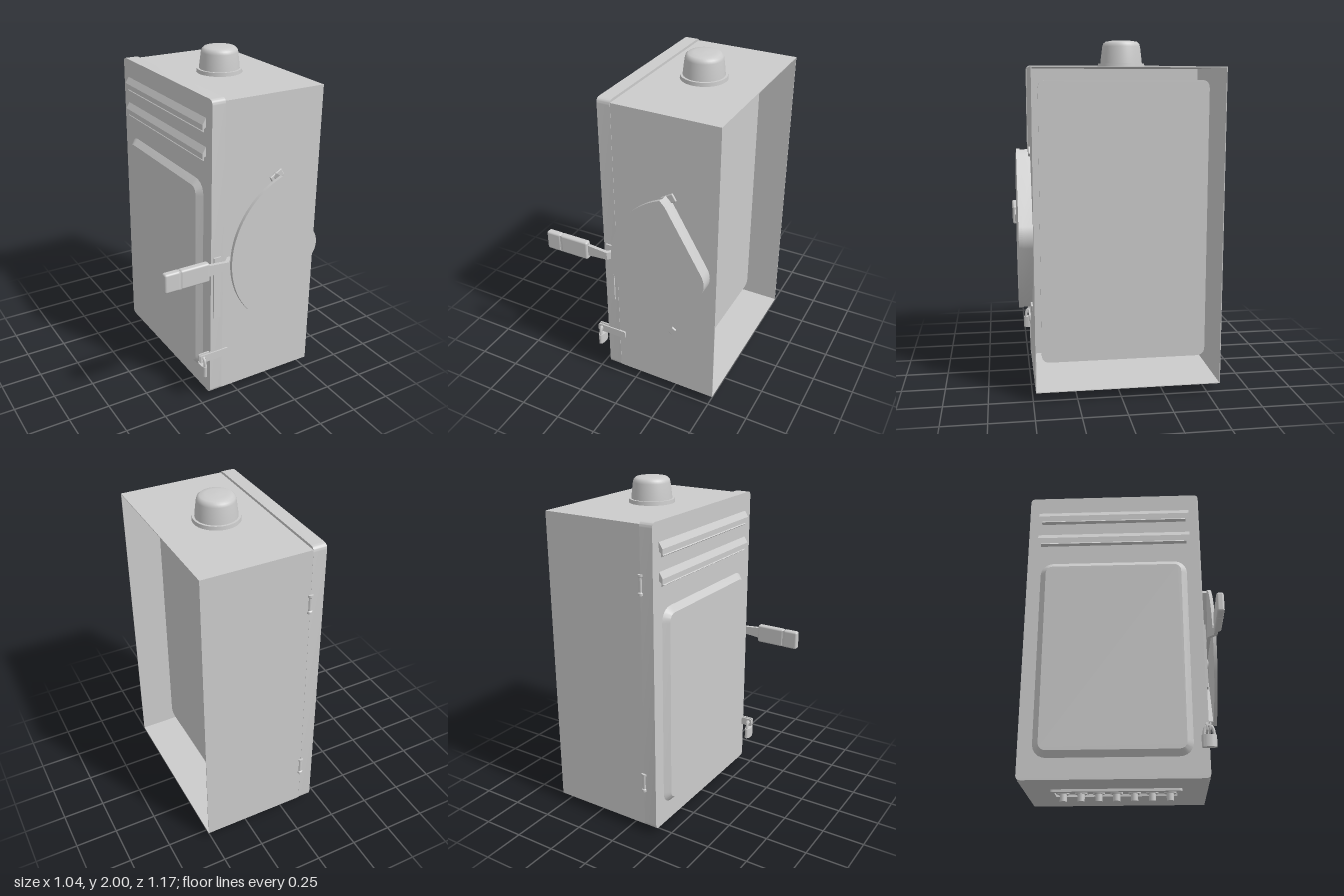
import * as THREE from 'three';
import { toCreasedNormals } from 'three/addons/utils/BufferGeometryUtils.js';
import { RoundedBoxGeometry } from 'three/addons/geometries/RoundedBoxGeometry.js';

const grey = new THREE.MeshStandardMaterial({ color: 0xcccccc, side: THREE.DoubleSide });

// Rounded rectangle path
function roundRect(path, x0, x1, y0, y1, r) {
  path.moveTo(x0 + r, y0);
  path.lineTo(x1 - r, y0);
  path.quadraticCurveTo(x1, y0, x1, y0 + r);
  path.lineTo(x1, y1 - r);
  path.quadraticCurveTo(x1, y1, x1 - r, y1);
  path.lineTo(x0 + r, y1);
  path.quadraticCurveTo(x0, y1, x0, y1 - r);
  path.lineTo(x0, y0 + r);
  path.quadraticCurveTo(x0, y0, x0 + r, y0);
  return path;
}

// Extrusion along z with sharp edges kept
function extrude(shape, depth, options = {}) {
  const g = new THREE.ExtrudeGeometry(shape, { depth, bevelEnabled: false, curveSegments: 8, ...options });
  return toCreasedNormals(g, 0.5);
}

// Rounded sheet facing the x axis, between x0 and x1
function sheetX(z0, z1, y0, y1, r, x0, x1, options) {
  const shape = roundRect(new THREE.Shape(), -z1, -z0, y0, y1, r);
  return extrude(shape, x1 - x0, options).rotateY(Math.PI / 2).translate(x0, 0, 0);
}

export function createModel() {
  const group = new THREE.Group();
  const add = (name, geometry, x = 0, y = 0, z = 0) => {
    const mesh = new THREE.Mesh(geometry, grey);
    mesh.name = name;
    mesh.position.set(x, y, z);
    group.add(mesh);
    return mesh;
  };
  const box = (name, x0, x1, y0, y1, z0, z1) =>
    add(name, new THREE.BoxGeometry(x1 - x0, y1 - y0, z1 - z0), (x0 + x1) / 2, (y0 + y1) / 2, (z0 + z1) / 2);

  // Cabinet walls, open at +x
  const walls = new THREE.Shape([[-0.485, 0.055], [0.572, 0.055], [0.572, 1.85], [-0.485, 1.85]]
    .map(p => new THREE.Vector2(...p)));
  walls.holes.push(new THREE.Path([[-0.481, 0.059], [-0.481, 1.846], [0.568, 1.846], [0.568, 0.059]]
    .map(p => new THREE.Vector2(...p))));
  add('cabinetWalls', extrude(walls, 0.63).rotateY(Math.PI / 2), -0.11);

  // Mounting plate floating inside the cabinet
  add('mountingPlate', sheetX(-0.53, 0.44, 0.155, 1.78, 0.05, 0.31, 0.32));

  // Door with lip and raised field
  add('door', sheetX(-0.573, 0.487, 0.043, 1.865, 0.03, -0.19, -0.11));
  add('doorField', sheetX(-0.455, 0.365, 0.2, 1.35, 0.05, -0.19, -0.18,
    { bevelEnabled: true, bevelThickness: 0.03, bevelSize: 0.035, bevelSegments: 1 }));

  // Door louvres: a sloping hood with a small sill below
  for (const y of [1.52, 1.68]) {
    const hood = new THREE.Shape([[0, 0.075], [-0.022, 0.04], [-0.022, 0.01], [0, 0.025]]
      .map(p => new THREE.Vector2(...p)));
    add('louvreHood', extrude(hood, 0.94), -0.19, y, -0.515);
    const sill = new THREE.Shape([[0, 0.015], [-0.016, 0], [0, -0.01]].map(p => new THREE.Vector2(...p)));
    add('louvreSill', extrude(sill, 0.9), -0.19, y, -0.495);
  }

  // Hinges
  const hingeProfile = [[0, -0.058], [0.016, -0.058], [0.016, -0.045], [0.011, -0.04],
    [0.011, 0.04], [0.016, 0.045], [0.016, 0.058], [0, 0.058]].map(p => new THREE.Vector2(...p));
  for (const y of [0.337, 1.528]) {
    add('hinge', toCreasedNormals(new THREE.LatheGeometry(hingeProfile, 16), 0.6), -0.11, y, -0.57);
  }

  // Signal lamp on the roof
  const flange = add('lampFlange', new THREE.CylinderGeometry(0.132, 0.134, 0.022, 40), 0.173, 1.861, -0.045);
  flange.geometry = toCreasedNormals(flange.geometry, 0.6);
  const lamp = [[0.119, 1.87], [0.116, 1.9], [0.108, 1.965], [0.103, 1.982], [0.09, 1.993], [0.06, 1.998], [0, 2]]
    .map(p => new THREE.Vector2(...p));
  add('lampCap', new THREE.LatheGeometry(lamp, 40), 0.173, 0, -0.045);

  // Terminal strip under the floor
  const tray = roundRect(new THREE.Shape(), -0.34, 0.42, 0.075, 0.23, 0.02);
  tray.holes.push(roundRect(new THREE.Path(), -0.315, 0.395, 0.1, 0.205, 0.01));
  const trayGeometry = extrude(tray, 0.015).rotateX(-Math.PI / 2).rotateY(Math.PI / 2);
  trayGeometry.translate(0.15 - 0.1525 + 0.305, 0.04, 0);
  add('terminalTray', trayGeometry);
  for (let i = 0; i < 7; i++) {
    const z = 0.27 - i * 0.103;
    add('terminalPin', new THREE.CylinderGeometry(0.021, 0.021, 0.055, 12), 0.152, 0.0275, z);
    add('terminalCollar', new THREE.CylinderGeometry(0.036, 0.036, 0.014, 6), 0.152, 0.049, z);
  }

  // Sector-shaped switch cover: plate and two straight side walls, open along the arc
  const cy = 0.93, corner = Math.atan2(0.462, -0.185);
  const cover = new THREE.Shape();
  cover.absarc(0.402, cy, 0.502, corner, Math.PI * 2 - corner, false);
  cover.lineTo(0.245, cy - 0.435);
  cover.lineTo(0.465, cy - 0.06);
  cover.quadraticCurveTo(0.495, cy, 0.465, cy + 0.06);
  cover.lineTo(0.245, cy + 0.435);
  cover.closePath();
  add('switchCoverPlate', extrude(cover, 0.02, { curveSegments: 32 }), 0, 0, 0.543);
  const rim = new THREE.Shape();
  rim.moveTo(0.217, cy - 0.462);
  rim.lineTo(0.245, cy - 0.435);
  rim.lineTo(0.465, cy - 0.06);
  rim.quadraticCurveTo(0.495, cy, 0.465, cy + 0.06);
  rim.lineTo(0.245, cy + 0.435);
  rim.lineTo(0.217, cy + 0.462);
  rim.lineTo(0.205, cy + 0.44);
  rim.lineTo(0.445, cy + 0.055);
  rim.quadraticCurveTo(0.472, cy, 0.445, cy - 0.055);
  rim.lineTo(0.205, cy - 0.44);
  add('switchCoverRim', extrude(rim, 0.062), 0, 0, 0.483);
  for (const s of [1, -1]) {
    const foot = add('switchCoverFoot', new RoundedBoxGeometry(0.085, 0.05, 0.014, 2, 0.006), 0.23, cy + s * 0.44, 0.49);
    foot.rotation.z = s * 0.55;
  }

  // Switch lever, stepped outward in front of the cabinet edge
  const lever = new THREE.Shape([[0.42, 0.51], [0.42, 0.53], [-0.09, 0.53], [-0.125, 0.568], [-0.27, 0.568],
    [-0.27, 0.546], [-0.135, 0.546], [-0.1, 0.51]].map(p => new THREE.Vector2(p[0], -p[1])));
  const leverGeometry = extrude(lever, 0.07).rotateX(-Math.PI / 2).translate(0, -0.035, 0);
  const pos = leverGeometry.attributes.position;
  for (let i = 0; i < pos.count; i++) {
    if (pos.getX(i) > -0.2) pos.setY(i, pos.getY(i) * 0.65);
  }
  add('lever', leverGeometry, 0, cy + 0.005, 0);
  const pivot = add('leverPivot', new THREE.CylinderGeometry(0.045, 0.045, 0.06, 24), 0.4, cy, 0.513);
  pivot.rotation.x = Math.PI / 2;
  add('gripFront', new RoundedBoxGeometry(0.18, 0.115, 0.042, 3, 0.012), -0.34, cy + 0.003, 0.559);
  add('gripEnd', new RoundedBoxGeometry(0.094, 0.115, 0.042, 3, 0.012), -0.478, cy + 0.003, 0.559);
  box('gripNeck', -0.45, -0.41, 0.88, 0.985, 0.541, 0.577);

  // Door interlock strip and padlock hasp
  box('interlockStrip', -0.175, -0.13, 0.57, 0.96, 0.48, 0.497);
  for (const [x1, z] of [[-0.07, 0.49], [-0.11, 0.472]]) {
    const tab = roundRect(new THREE.Shape(), -0.262, x1, 0.285, 0.335, 0.012);
    const hole = new THREE.Path();
    hole.absarc(-0.238, 0.31, 0.014, 0, Math.PI * 2, true);
    tab.holes.push(hole);
    add('haspTab', extrude(tab, 0.01), 0, 0, z - 0.005);
  }

  // Padlock
  const body = new THREE.CylinderGeometry(0.042, 0.042, 0.068, 24).scale(0.45, 1, 1);
  add('padlockBody', toCreasedNormals(body, 0.6), -0.238, 0.234, 0.482);
  const arch = [[0.2, -0.026], [0.29, -0.026], [0.312, -0.018], [0.322, 0], [0.312, 0.018], [0.29, 0.026], [0.2, 0.026]]
    .map(([y, z]) => new THREE.Vector3(0, y, z));
  add('padlockShackle', new THREE.TubeGeometry(new THREE.CatmullRomCurve3(arch), 32, 0.009, 10), -0.238, 0, 0.482);

  return group;
}
